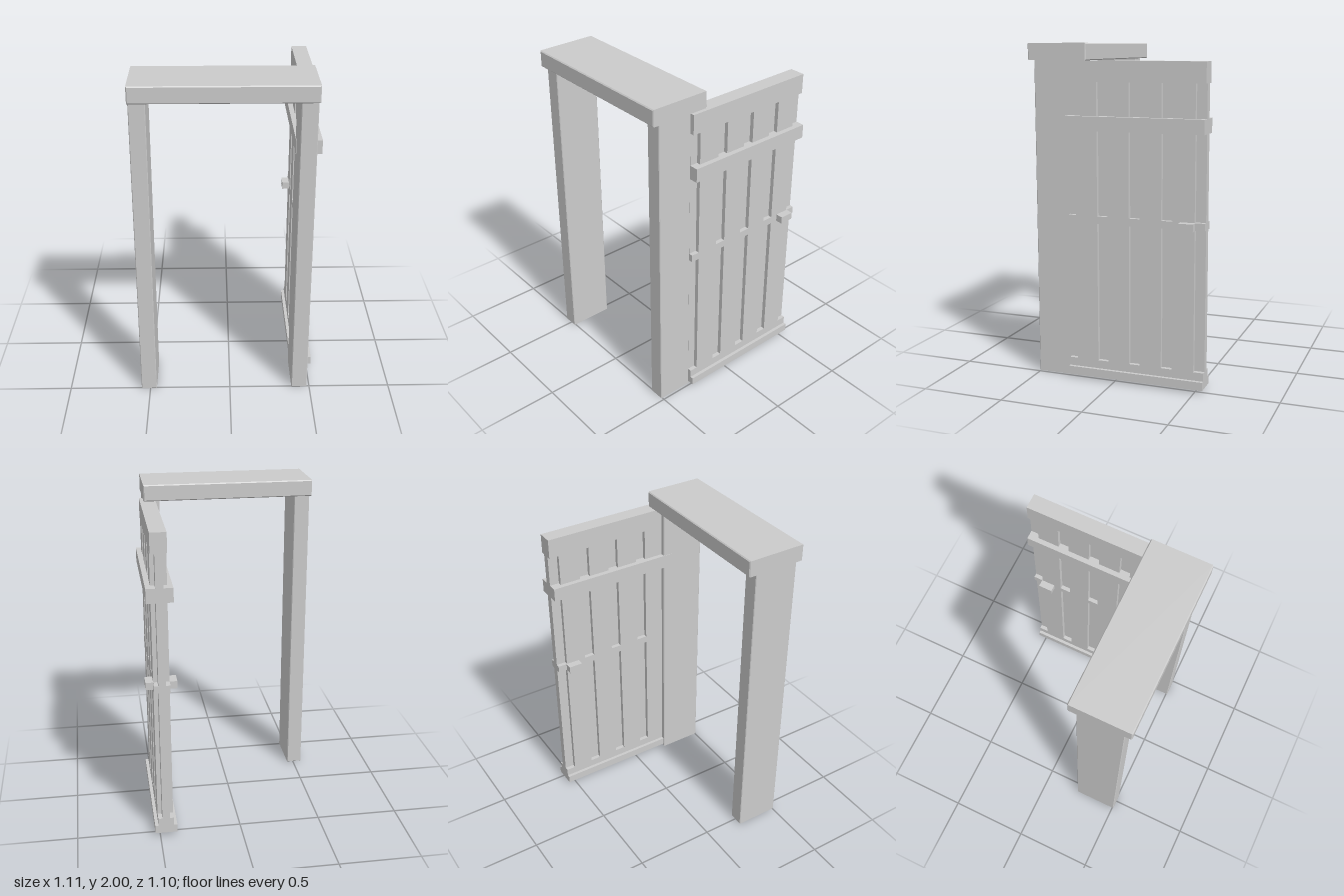
import * as THREE from 'three';

const material = new THREE.MeshStandardMaterial({ color: 0xcccccc });

function addMesh(parent, name, geometry) {
  const mesh = new THREE.Mesh(geometry, material);
  mesh.name = name;
  parent.add(mesh);
  return mesh;
}

// Box given by its minimum and maximum corners
function addBox(parent, name, [x0, y0, z0], [x1, y1, z1]) {
  const mesh = addMesh(parent, name, new THREE.BoxGeometry(x1 - x0, y1 - y0, z1 - z0));
  mesh.position.set((x0 + x1) / 2, (y0 + y1) / 2, (z0 + z1) / 2);
  return mesh;
}

// Box with narrow chamfered edges, also by corners
function addChamferedBox(parent, name, [x0, y0, z0], [x1, y1, z1], c) {
  const shape = new THREE.Shape(rectangle(x0 + c, y0 + c, x1 - c, y1 - c));
  const geometry = new THREE.ExtrudeGeometry(shape, {
    depth: z1 - z0 - 2 * c, bevelSize: c, bevelThickness: c, bevelSegments: 1,
  });
  geometry.translate(0, 0, z0 + c);
  return addMesh(parent, name, geometry);
}

function rectangle(x0, y0, x1, y1) {
  return [[x0, y0], [x1, y0], [x1, y1], [x0, y1]].map(([x, y]) => new THREE.Vector2(x, y));
}

// Plank layer of the door: slots between planks, notches along both edges
function plankLayerGeometry(depth) {
  const L = -0.29, R = 0.55, l = -0.24, r = 0.49;
  const rows = [[0.12, 0.955], [1.0, 1.78]];
  const points = [[L, 0.02], [R, 0.02]];
  for (const [a, b] of rows) points.push([R, a], [r, a], [r, b], [R, b]);
  points.push([R, 1.9], [L, 1.9]);
  for (const [a, b] of [...rows].reverse()) points.push([L, b], [l, b], [l, a], [L, a]);

  const shape = new THREE.Shape(points.map(([x, y]) => new THREE.Vector2(x, y)));
  for (const [a, b] of rows) {
    for (const x of [-0.105, 0.093, 0.291]) {
      shape.holes.push(new THREE.Path(rectangle(x, a, x + 0.067, b)));
    }
  }
  const geometry = new THREE.ExtrudeGeometry(shape, { depth, bevelEnabled: false });
  return geometry.rotateY(Math.PI / 2);
}

export function createModel() {
  const model = new THREE.Group();
  model.name = 'openDoorway';

  // Frame
  const frame = new THREE.Group();
  frame.name = 'doorFrame';
  model.add(frame);
  addChamferedBox(frame, 'rightPost', [-0.555, 0, 0.228], [-0.46, 1.905, 0.508], 0.004);
  addChamferedBox(frame, 'leftPost', [0.388, 0, 0.228], [0.484, 1.905, 0.508], 0.004);
  addChamferedBox(frame, 'lintel', [-0.558, 1.9, 0.178], [0.488, 2, 0.548], 0.006);

  // Door, swung open away from the front
  const door = new THREE.Group();
  door.name = 'door';
  model.add(door);
  const back = -0.55, hinge = 0.29;
  addBox(door, 'doorCore', [0.44, 0.02, back], [0.485, 1.9, hinge]);
  const planks = plankLayerGeometry(0.025);
  addMesh(door, 'outerPlanks', planks).position.x = 0.485;
  addMesh(door, 'innerPlanks', planks).position.x = 0.415;

  // Rails that stand out on both faces
  addBox(door, 'upperRail', [0.385, 1.5, back], [0.54, 1.585, hinge]);
  addBox(door, 'bottomRail', [0.395, 0.02, back], [0.53, 0.07, hinge]);

  // Handle passing through the door
  addBox(door, 'handle', [0.37, 0.955, -0.493], [0.555, 1.0, -0.405]);

  return model;
}
